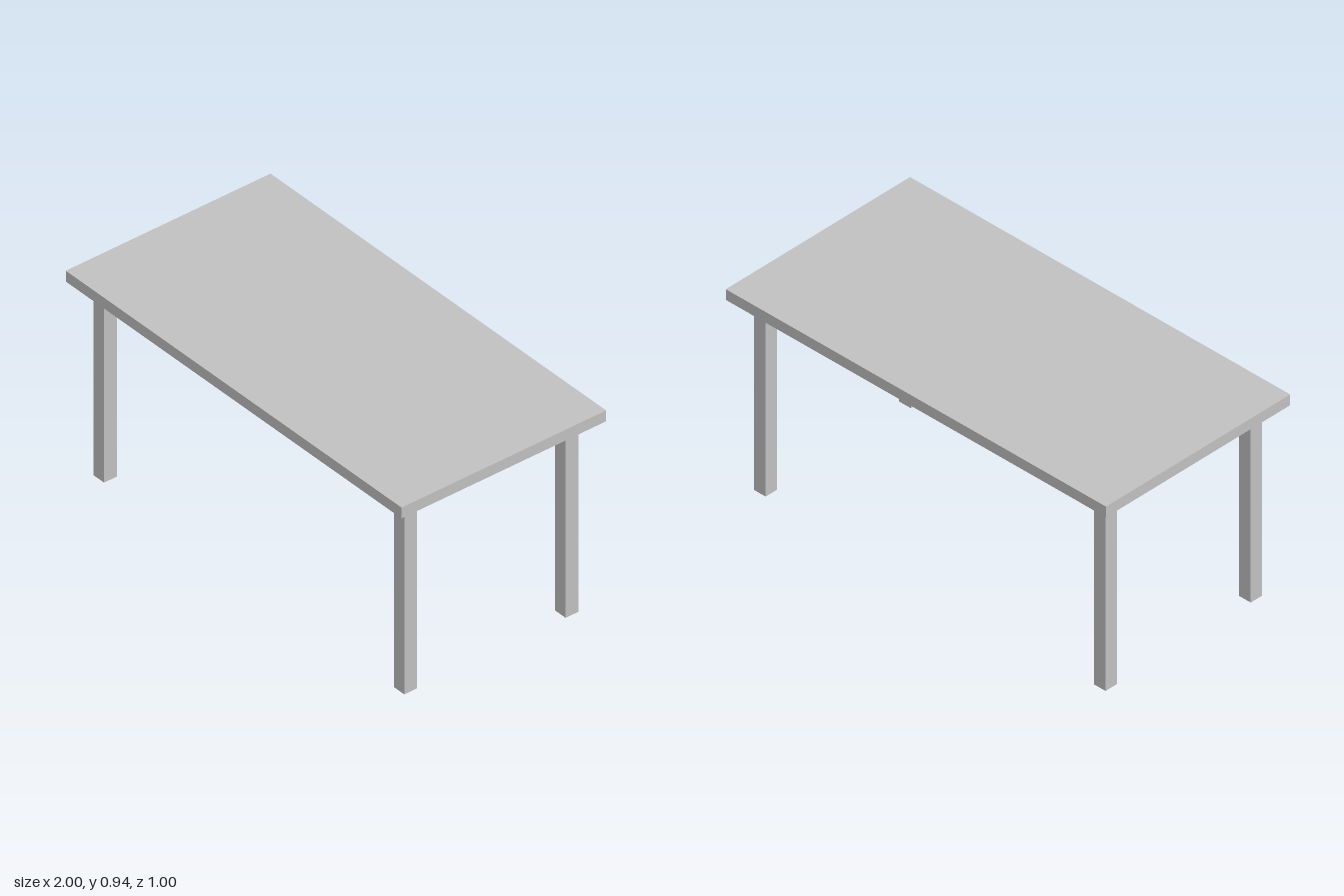
import * as THREE from 'three';

export function createModel() {
  const table = new THREE.Group();
  table.name = 'table';
  const grey = new THREE.MeshStandardMaterial({ color: 0xc0c0c0 });
  grey.name = 'light grey';

  const legHeight = 0.89, legWidth = 0.062, topThickness = 0.05;

  // Table top
  const top = new THREE.Mesh(new THREE.BoxGeometry(2, topThickness, 1), grey);
  top.name = 'tableTop';
  top.position.y = legHeight + topThickness / 2;
  table.add(top);

  // Four square legs, inset from the corners
  const legGeometry = new THREE.BoxGeometry(legWidth, legHeight, legWidth);
  for (const [sideName, sx] of [['Left', 1], ['Right', -1]]) {
    for (const [endName, sz] of [['front', 1], ['back', -1]]) {
      const leg = new THREE.Mesh(legGeometry, grey);
      leg.name = `${endName}${sideName}Leg`;
      leg.position.set(sx * 0.894, legHeight / 2, sz * 0.394);
      table.add(leg);
    }
  }
  return table;
}
